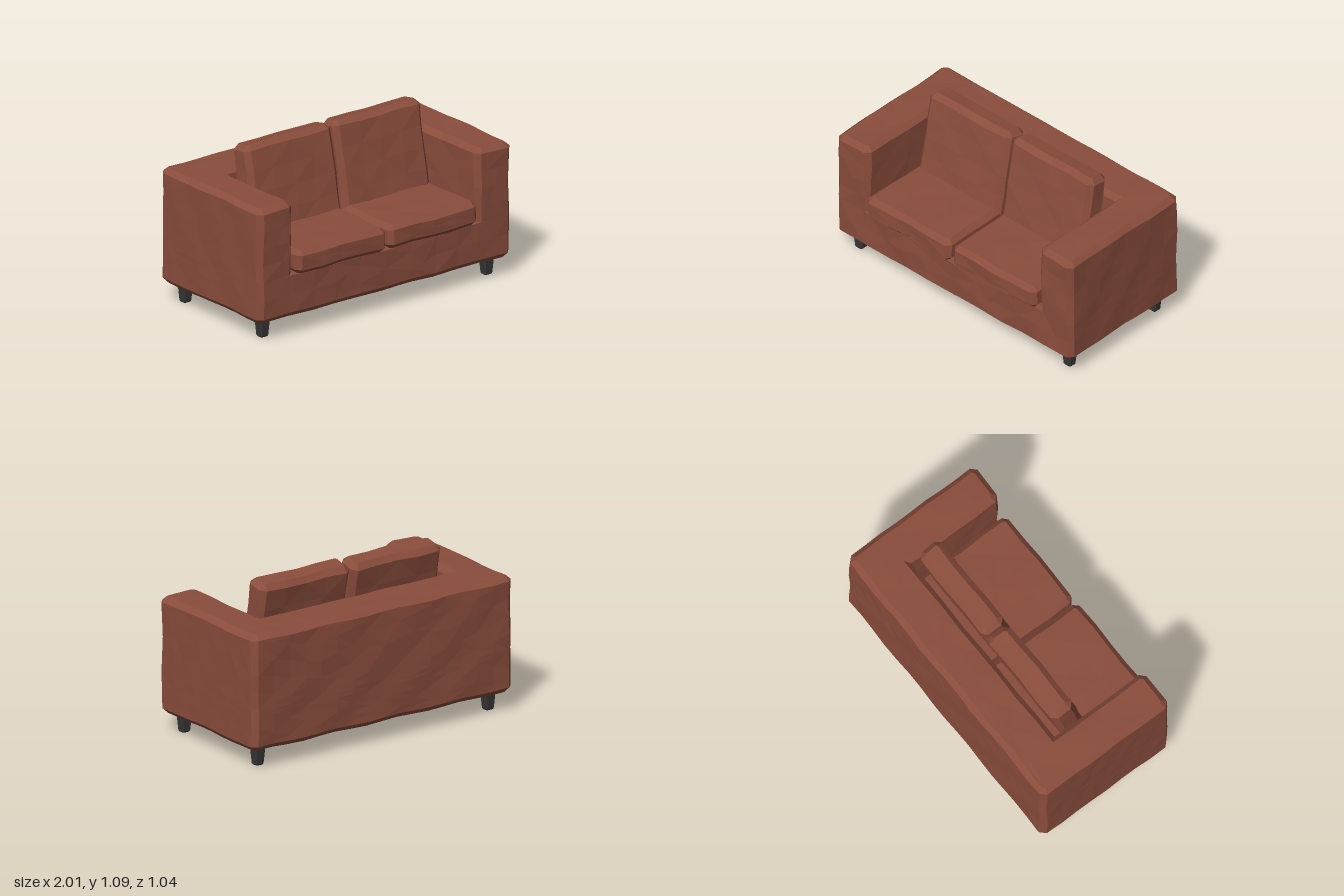
import * as THREE from 'three';

const leather = new THREE.MeshStandardMaterial({ color: 0x8a4d3c, flatShading: true });
const dark = new THREE.MeshStandardMaterial({ color: 0x363636, flatShading: true });

// Skin a stack of equal-length rings (bottom to top) and cap both ends; returns triangles
function loft(rings) {
  const tris = [];
  const add = (a, b, c) => {
    const t = [a, b, c].map((p) => new THREE.Vector3(...p));
    if (new THREE.Triangle(...t).getArea() > 1e-7) tris.push(t);
  };
  for (let r = 0; r < rings.length - 1; r++) {
    const lo = rings[r], hi = rings[r + 1];
    lo.forEach((a, i) => {
      const j = (i + 1) % lo.length;
      add(a, hi[i], lo[j]);
      add(lo[j], hi[i], hi[j]);
    });
  }
  [[rings[0], -1], [rings[rings.length - 1], 1]].forEach(([ring, side]) => {
    const flat = ring.map((p) => new THREE.Vector2(p[0], p[2]));
    THREE.ShapeUtils.triangulateShape(flat, []).forEach(([a, b, c]) => {
      const up = flat[b].clone().sub(flat[a]).cross(flat[c].clone().sub(flat[a])) < 0;
      if (up === side > 0) add(ring[a], ring[b], ring[c]);
      else add(ring[a], ring[c], ring[b]);
    });
  });
  return tris;
}

// Halve every edge longer than the limit, so neighbouring triangles stay joined
function subdivide(tris, limit) {
  const out = [], todo = [...tris];
  while (todo.length) {
    const t = todo.pop();
    const len = [0, 1, 2].map((i) => t[i].distanceTo(t[(i + 1) % 3]));
    const k = len.indexOf(Math.max(...len));
    if (len[k] <= limit) { out.push(t); continue; }
    const a = t[k], b = t[(k + 1) % 3], c = t[(k + 2) % 3];
    const m = a.clone().add(b).multiplyScalar(0.5);
    todo.push([a, m, c], [m, b, c]);
  }
  return out;
}

// Gentle uneven upholstery: shift each corner by a rule of its position
function wrinkle(v, amp) {
  const { x, y, z } = v;
  return [
    x + amp * 0.7 * Math.sin(11 * y + 17 * z + 3 * x),
    y + amp * Math.sin(13 * x + 9 * z + 1),
    z + amp * Math.sin(12 * x + 15 * y + 2),
  ];
}

function makeMesh(name, tris, material, amp = 0, matrix = new THREE.Matrix4()) {
  const points = tris.flatMap((t) => t.flatMap((v) => wrinkle(v.clone().applyMatrix4(matrix), amp)));
  const geo = new THREE.BufferGeometry();
  geo.setAttribute('position', new THREE.Float32BufferAttribute(points, 3));
  geo.computeVertexNormals();
  const mesh = new THREE.Mesh(geo, material);
  mesh.name = name;
  return mesh;
}

// Rectangle with cut corners, clockwise from above
function cutRect(hx, hz, c, y) {
  return [[hx - c, -hz], [hx, c - hz], [hx, hz - c], [hx - c, hz],
    [c - hx, hz], [-hx, hz - c], [-hx, c - hz], [c - hx, -hz]].map(([x, z]) => [x, y, z]);
}

function chamferBox(w, h, d, c) {
  const x = w / 2, z = d / 2, y = h / 2;
  return loft([
    cutRect(x - c, z - c, c * 0.3, -y), cutRect(x, z, c, c - y),
    cutRect(x, z, c, y - c), cutRect(x - c, z - c, c * 0.3, y),
  ]);
}

// Frame footprint: full block below the seat, U-shaped above it
function frameRing(y, inset, open) {
  const c = inset ? 0.015 : 0.035;
  const X = 1 - inset, B = -0.52 + inset, F = 0.485 - inset, n = 0.725 + inset;
  const notch = open
    ? [[n + c, F], [n, F - c], [n, -0.215 - inset]]
    : [[0.76, F + 0.001], [0.725, F + 0.002], [0.4, F + 0.003]];
  const half = [[X - c, B], [X, B + c], [X, F - c], [X - c, F], ...notch];
  const mirrored = half.map(([x, z]) => [-x, z]).reverse();
  return [...half, ...mirrored].map(([x, z]) => [x, y, z]);
}

export function createModel() {
  const group = new THREE.Group();
  group.name = 'sofa';

  // One-piece frame: base, arms and backrest
  const frame = loft([
    frameRing(0.122, 0.035, false), frameRing(0.157, 0, false), frameRing(0.4, 0, false),
    frameRing(0.4, 0, true), frameRing(0.855, 0, true), frameRing(0.888, 0.035, true),
  ]);
  group.add(makeMesh('frame', subdivide(frame, 0.22), leather, 0.004));

  for (const side of [-1, 1]) {
    const label = side > 0 ? 'left' : 'right';

    // Seat cushion
    const seat = subdivide(chamferBox(0.705, 0.16, 0.72, 0.032), 0.25);
    group.add(makeMesh(label + 'SeatCushion', seat, leather, 0.004,
      new THREE.Matrix4().makeTranslation(side * 0.363, 0.478, 0.155)));

    // Leaning back cushion
    const back = subdivide(chamferBox(0.69, 0.62, 0.168, 0.035), 0.25);
    const lean = new THREE.Matrix4().makeRotationX(-0.19).setPosition(side * 0.352, 0.773, -0.06);
    group.add(makeMesh(label + 'BackCushion', back, leather, 0.004, lean));

    // Tapered legs
    for (const [end, z] of [['Front', 0.37], ['Back', -0.403]]) {
      const leg = makeMesh(label + end + 'Leg', loft([
        cutRect(0.024, 0.022, 0.006, 0), cutRect(0.031, 0.027, 0.007, 0.008),
        cutRect(0.041, 0.036, 0.008, 0.13),
      ]), dark);
      leg.position.set(side * 0.887, 0, z);
      group.add(leg);
    }
  }
  return group;
}
